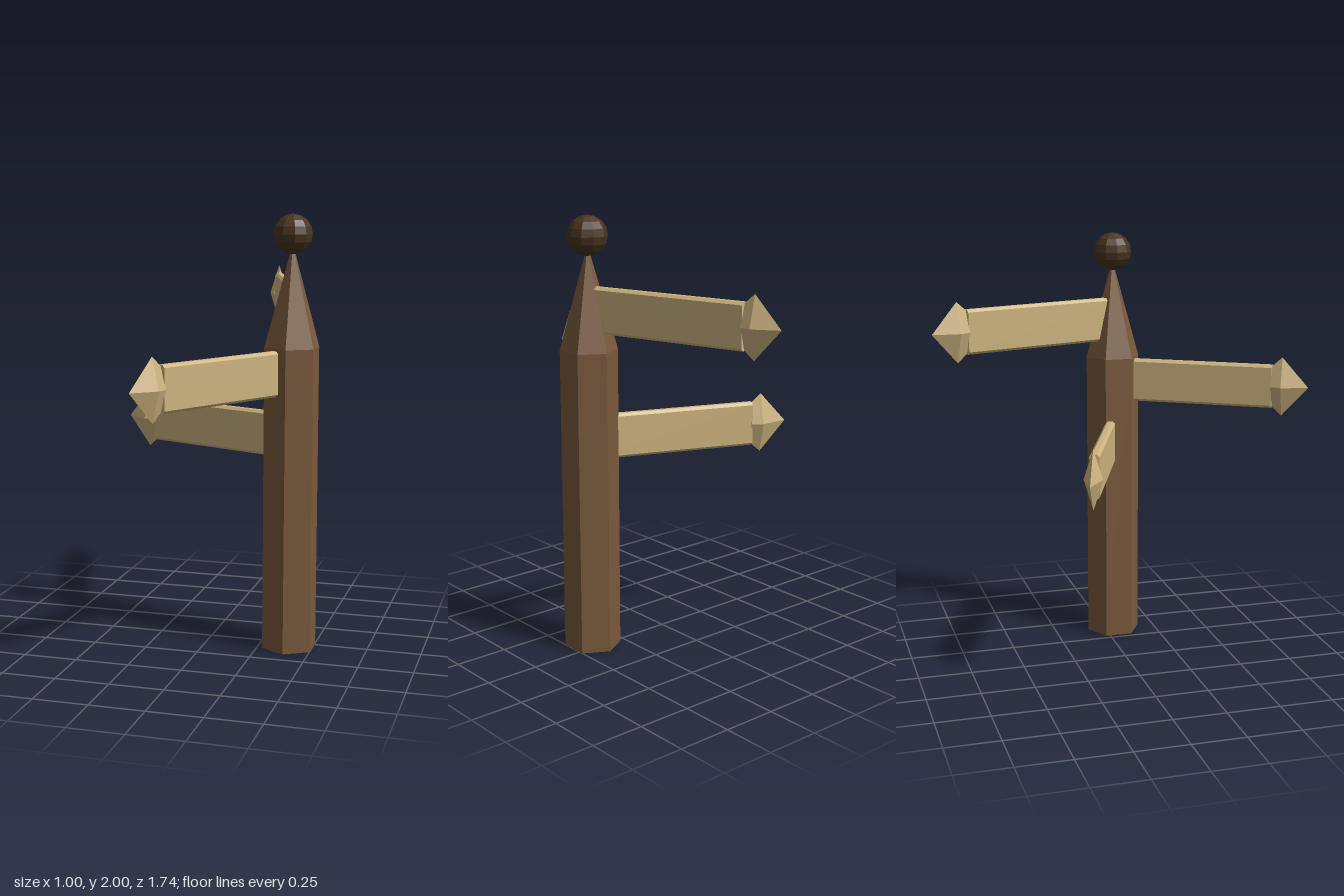
import * as THREE from 'three';

function material(name, color) {
  const m = new THREE.MeshStandardMaterial({ color, flatShading: true });
  m.name = name;
  return m;
}

function mesh(name, geometry, mat) {
  const m = new THREE.Mesh(geometry, mat);
  m.name = name;
  return m;
}

// Chamfered plank running along +x from the post axis
function boardGeometry(length, halfH, halfT, c) {
  const pts = [
    [halfT, halfH - c], [halfT - c, halfH], [c - halfT, halfH], [-halfT, halfH - c],
    [-halfT, c - halfH], [c - halfT, -halfH], [halfT - c, -halfH], [halfT, c - halfH],
  ].map(([x, y]) => new THREE.Vector2(x, y));
  const g = new THREE.ExtrudeGeometry(new THREE.Shape(pts), { depth: length, bevelEnabled: false });
  return g.rotateY(Math.PI / 2);
}

// Four-sided arrow head: narrow neck, wide ring, pointed tip
function headGeometry(neck, wide, tip, halfH, halfT) {
  const profile = [[0, neck], [0.67, neck], [1, wide], [0, tip]]
    .map(([r, y]) => new THREE.Vector2(r, y));
  const g = new THREE.LatheGeometry(profile, 4);
  return g.rotateZ(-Math.PI / 2).scale(1, halfH, halfT);
}

export function createModel() {
  const postWood = material('post wood', 0x7a5a3c);
  const signWood = material('sign wood', 0xcdb37f);
  const darkWood = material('dark wood', 0x48331f);

  const model = new THREE.Group();
  model.name = 'signpost';
  const post = new THREE.Group();
  post.name = 'postAssembly';
  post.position.set(0.388, 0, 0.045);
  model.add(post);

  // Hexagonal post with pointed top and ball
  const shaft = mesh('post', new THREE.CylinderGeometry(0.13, 0.13, 1.405, 6), postWood);
  shaft.position.y = 0.7025;
  const point = mesh('postPoint', new THREE.ConeGeometry(0.13, 0.465, 6), postWood);
  point.position.y = 1.405 + 0.2325;
  const ball = mesh('ball', new THREE.SphereGeometry(0.09, 10, 8), darkWood);
  ball.position.y = 1.91;
  post.add(shaft, point, ball);

  // Arrow signs: height and horizontal heading of each
  const signs = [
    ['lowerSign', 1.0, -0.89, -0.345],
    ['middleSign', 1.293, -0.493, 0.825],
    ['upperSign', 1.587, -0.283, -0.915],
  ];
  const board = boardGeometry(0.785, 0.103, 0.023, 0.012);
  const head = headGeometry(0.78, 0.832, 0.957, 0.14, 0.043);
  for (const [name, y, dx, dz] of signs) {
    const sign = new THREE.Group();
    sign.name = name;
    sign.position.y = y;
    sign.rotation.y = Math.atan2(-dz, dx);
    sign.add(mesh('board', board, signWood), mesh('arrowHead', head, signWood));
    post.add(sign);
  }
  return model;
}
